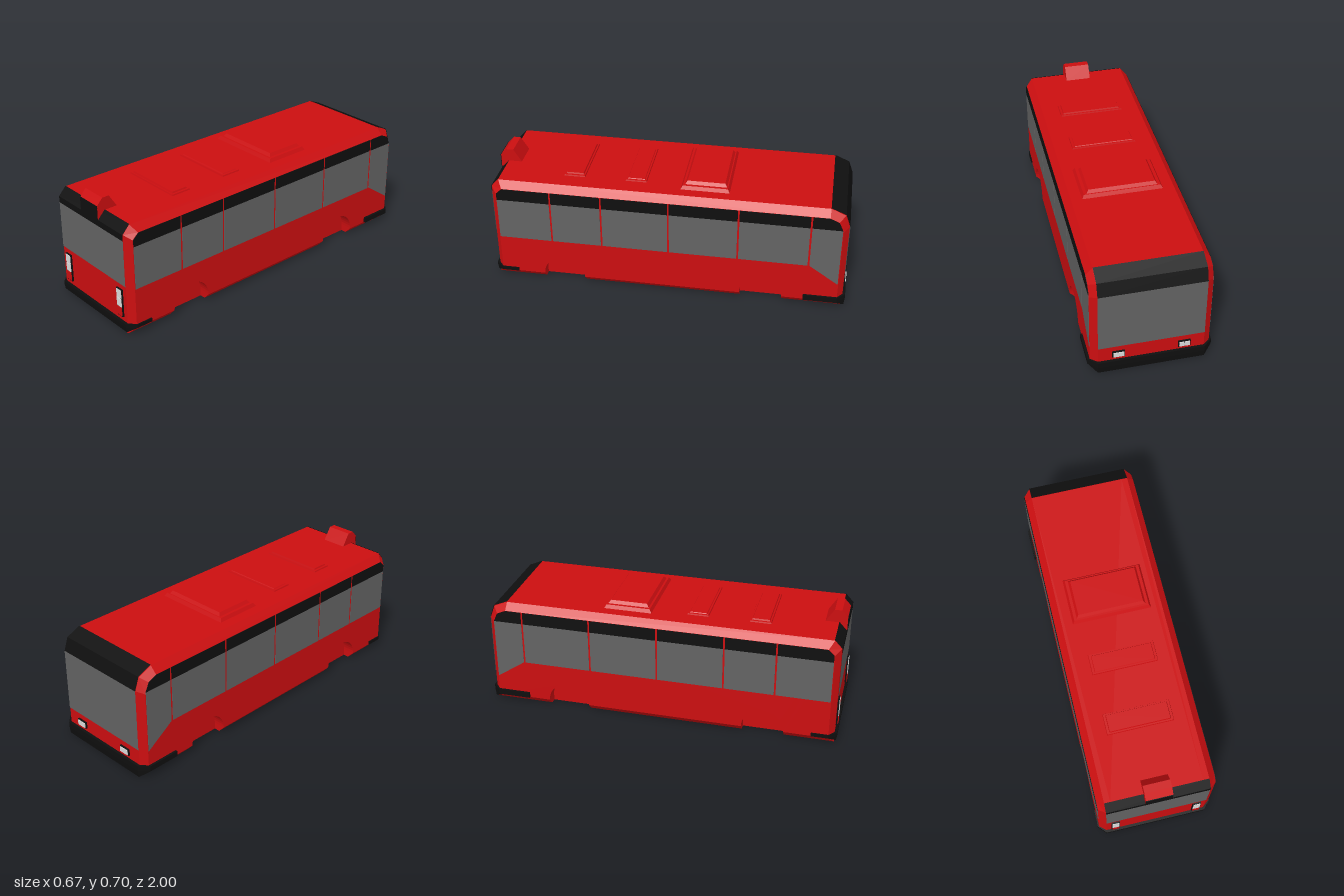
import * as THREE from 'three';
import { ConvexGeometry } from 'three/addons/geometries/ConvexGeometry.js';

const paint = (name, color, side = THREE.FrontSide) => {
  const m = new THREE.MeshStandardMaterial({ color, side });
  m.name = name;
  return m;
};

export function createModel() {
  const red = paint('red paint', 0xcc0e10);
  const black = paint('black trim', 0x0f0f0f, THREE.DoubleSide);
  const glass = paint('grey glass', 0x636363, THREE.DoubleSide);
  const white = paint('light lens', 0xdcdcdc);
  const bus = new THREE.Group();
  bus.name = 'bus';

  const add = (name, geo, mat, parent = bus) => {
    const m = new THREE.Mesh(geo, mat);
    m.name = name;
    parent.add(m);
    return m;
  };
  const box = (name, mat, w, h, d, x, y, z, parent) =>
    add(name, new THREE.BoxGeometry(w, h, d).translate(x, y, z), mat, parent);

  // Extrude a [z, y] outline along x from x0 to x1; farPts reshapes the x1 end
  const slab = (pts, x0, x1, farPts) => {
    const shape = new THREE.Shape(pts.map(([z, y]) => new THREE.Vector2(-z, y)));
    const geo = new THREE.ExtrudeGeometry(shape, { depth: x1 - x0, bevelEnabled: false });
    if (farPts) {
      const p = geo.attributes.position;
      for (let i = 0; i < p.count; i++) {
        if (p.getZ(i) < 1e-4) continue;
        const k = pts.findIndex(([z, y]) => Math.hypot(z + p.getX(i), y - p.getY(i)) < 1e-4);
        p.setX(i, -farPts[k][0]);
        p.setY(i, farPts[k][1]);
      }
      geo.computeVertexNormals();
    }
    return geo.rotateY(Math.PI / 2).translate(x0, 0, 0);
  };

  // Sheet across the bus following a [z, y] path
  const sheet = (path, half = 0.283) => {
    const geo = new THREE.PlaneGeometry(half * 2, 1, 1, path.length - 1);
    const p = geo.attributes.position;
    for (let i = 0; i < p.count; i++) {
      const [z, y] = path[i >> 1];
      p.setXYZ(i, z < 0 ? -p.getX(i) : p.getX(i), y, z);
    }
    const flat = geo.toNonIndexed();
    flat.computeVertexNormals();
    return flat;
  };

  // Body: core, then side layers with wheel wells and chamfered edges
  const ends = [[0.985, 0], [0.985, 0.58], [0.945, 0.625], [-0.88, 0.625],
    [-0.96, 0.59], [-0.985, 0.52], [-0.985, 0]];
  const outerEnds = [[0.955, 0.04], [0.955, 0.555], [0.92, 0.587], [-0.88, 0.587],
    [-0.93, 0.565], [-0.955, 0.505], [-0.955, 0.04]];
  const wells = [];
  for (const c of [-0.53, 0.59]) {
    wells.push([c - 0.118, 0]);
    for (let i = 0; i <= 20; i++) {
      const a = Math.PI * (1 - i / 20);
      wells.push([c + 0.118 * Math.cos(a), 0.04 + 0.12 * Math.sin(a)]);
    }
    wells.push([c + 0.118, 0]);
  }
  const inner = [...ends, ...wells];
  const outer = [...outerEnds, ...wells.map(([z, y]) => [z, Math.max(y, 0.04)])];
  add('bodyCore', slab(ends, -0.25, 0.25), red);

  const posts = [0.957, 0.65, 0.365, -0.01, -0.395, -0.785, -0.957];
  for (const s of [1, -1]) {
    const side = new THREE.Group();
    side.name = s > 0 ? 'leftSide' : 'rightSide';
    side.scale.x = s;
    bus.add(side);
    add('wheelWellLayer', slab(inner, 0.25, 0.283), red, side);
    add('sidePanel', slab(inner, 0.283, 0.32, outer), red, side);

    // Side windows and the dark band above, split by thin red pillars
    for (let i = 0; i < 6; i++) {
      const a = posts[i] - 0.005, b = posts[i + 1] + 0.005, last = i === 5;
      const pane = [[a, 0.27], [a, 0.515], [b, 0.515], [b, last ? 0.16 : 0.27]];
      const band = [[a, 0.515]];
      if (i === 0) band.push([a, 0.555], [0.92, 0.586]);
      else band.push([a, 0.586]);
      if (last) band.push([-0.88, 0.586], [-0.93, 0.564]);
      else band.push([b, 0.586]);
      band.push([b, 0.515]);
      add('sideWindow', slab(pane, 0.319, 0.322), glass, side);
      add('sideBand', slab(band, 0.319, 0.322), black, side);
    }
  }

  // End windows and dark bands above them
  add('rearWindow', sheet([[0.988, 0.545], [0.988, 0.28]]), glass);
  add('rearBand', sheet([[0.944, 0.628], [0.988, 0.581], [0.988, 0.545]]), black);
  add('windshield', sheet([[-0.988, 0.52], [-0.988, 0.165]]), glass);
  add('windshieldBand', sheet([[-0.88, 0.628], [-0.962, 0.593], [-0.988, 0.52]]), black);

  // Bumpers: wrap-around strip with a tapering apron below
  const bumper = (name, e, zIn, top, low, w) => {
    const g = new THREE.Group();
    g.name = name;
    bus.add(g);
    const hull = (part, list) => add(part, new ConvexGeometry(
      list.flatMap(([x, y, z]) => [1, -1].map((s) => new THREE.Vector3(s * x, y, e * z)))), black, g);
    hull('bumperStrip', [0.042, top].flatMap((y) => [[w, y, zIn], [w, y, 0.955], [0.285, y, 1]]));
    hull('bumperApron', [[w, 0.042, 0.955], [0.285, 0.042, 1], [0.28, 0.042, 0.955],
      [0.285, low, 0.995], [0.28, low, 0.955]]);
  };
  bumper('rearBumper', 1, 0.86, 0.062, 0.012, 0.327);
  bumper('frontBumper', -1, 0.768, 0.073, 0.002, 0.333);

  // Roof hatches: stacked tapered tiers
  const tier = (name, hx, z0, z1, y0, y1, t) => {
    const pts = [];
    for (const x of [-1, 1]) for (const k of [0, 1]) {
      pts.push(new THREE.Vector3(x * hx, y0, k ? z1 : z0));
      pts.push(new THREE.Vector3(x * (hx - t), y1, k ? z1 - t : z0 + t));
    }
    add(name, new ConvexGeometry(pts), red);
  };
  tier('largeHatchBase', 0.225, -0.335, -0.06, 0.62, 0.644, 0.014);
  tier('largeHatchLid', 0.195, -0.315, -0.085, 0.644, 0.661, 0.012);
  for (const [z, h] of [[0.535, 0.64], [0.19, 0.636]]) {
    tier('smallHatchBase', 0.185, z - 0.061, z + 0.061, 0.62, 0.632, 0.004);
    tier('smallHatchLid', 0.17, z - 0.05, z + 0.05, 0.63, h, 0.004);
  }

  // Roof pod above the rear window with a dark face
  add('roofPod', slab([[0.989, 0.58], [0.989, 0.66], [0.955, 0.697], [0.915, 0.697],
    [0.868, 0.622], [0.868, 0.58]], -0.072, 0.075), red);
  add('roofPodFace', new THREE.BoxGeometry(0.147, 0.08, 0.004).translate(0.0015, 0.62, 0.99), black);

  for (const s of [1, -1]) {
    // Tail lights
    const x = s * 0.232;
    box('tailLightFrame', black, 0.047, 0.162, 0.01, x, 0.17, 0.989);
    box('tailLightUpper', white, 0.039, 0.049, 0.004, x, 0.223, 0.995);
    box('tailLightMiddle', white, 0.039, 0.047, 0.004, x, 0.171, 0.995);
    box('tailLightLower', red, 0.039, 0.049, 0.004, x, 0.119, 0.995);
    // Headlights
    box('headlightFrame', black, 0.066, 0.038, 0.01, s * 0.175, 0.113, -0.989);
    for (const d of [-1, 1])
      box('headlight', white, 0.027, 0.028, 0.005, s * 0.175 + d * 0.0145, 0.113, -0.996);
  }
  return bus;
}
